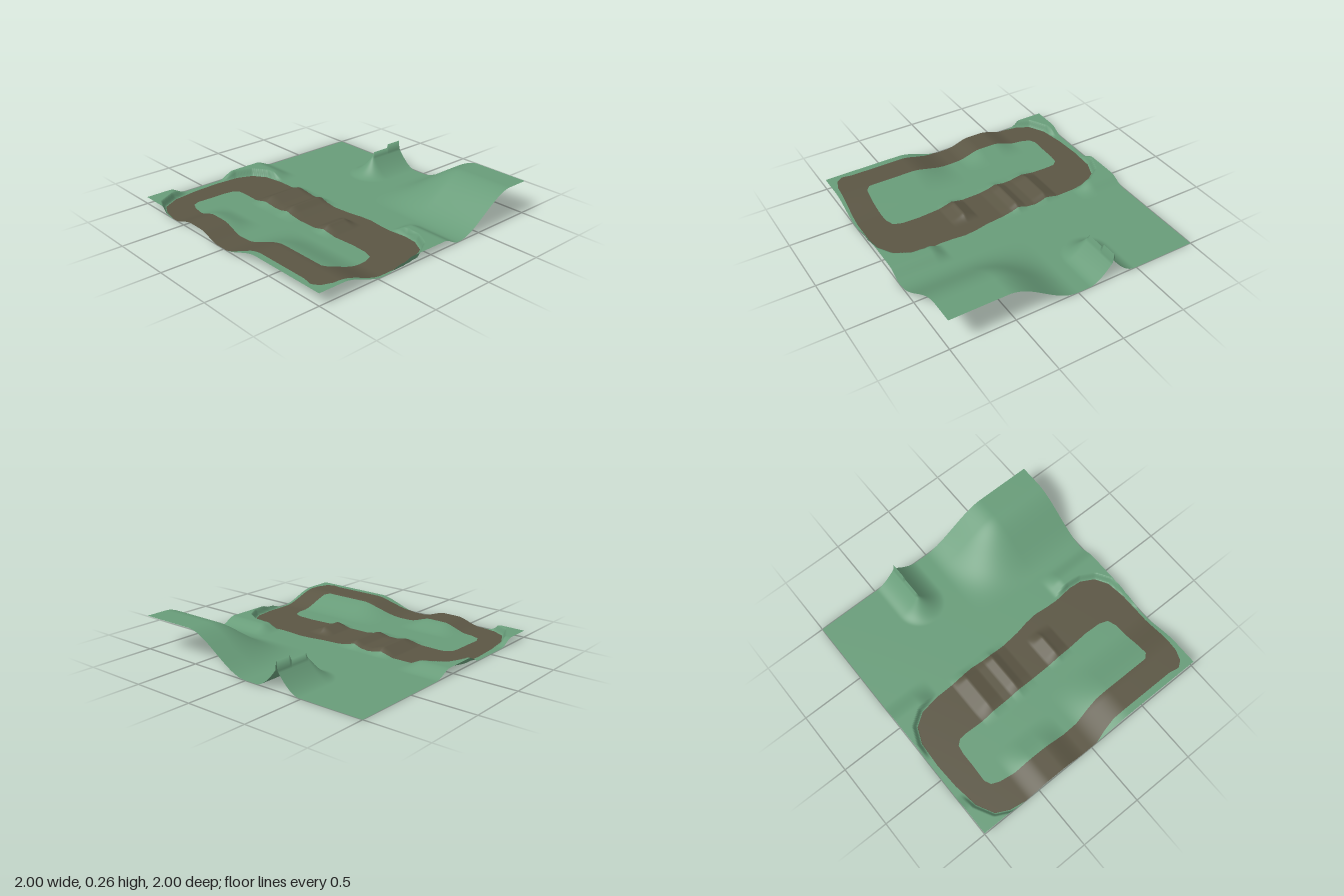
import * as THREE from 'three';

const N = 200; // grid cells per side

// Outlines of the dirt road, as (x, z) pairs
const outerEdge = [-.96, .4, -.95, .2, -.9, .08, -.8, .01, -.65, -.015, -.4, -.02, -.3, -.03, -.15, -.015, 0, -.02,
  .15, -.035, .25, -.055, .35, -.065, .45, -.055, .55, -.05, .7, -.065, .8, -.055, .9, 0, .96, .1, .98, .25, .98, .45,
  .97, .7, .96, .85, .93, .93, .88, .965, .8, .95, .5, .95, .25, .95, .15, .97, .07, .995, 0, 1.015, -.3, 1.02,
  -.6, 1.005, -.75, .98, -.85, .93, -.92, .8, -.95, .6];
const innerEdge = [-.76, .45, -.75, .38, -.71, .345, -.65, .34, -.5, .345, -.3, .335, 0, .325, .25, .32, .4, .31,
  .55, .3, .68, .305, .75, .33, .775, .4, .78, .6, .775, .72, .74, .755, .6, .755, .25, .755, .15, .77, .03, .795,
  -.1, .8, -.3, .795, -.55, .795, -.68, .775, -.74, .75, -.765, .7, -.76, .55];

const toPoints = (list) => {
  const points = [];
  for (let i = 0; i < list.length; i += 2) points.push([list[i], list[i + 1]]);
  return points;
};
const outer = toPoints(outerEdge), inner = toPoints(innerEdge);

// Signed distance to a closed outline, positive inside
function inside(points, x, z) {
  let best = Infinity, within = false;
  for (let i = 0, j = points.length - 1; i < points.length; j = i++) {
    const [ax, az] = points[i], [bx, bz] = points[j];
    const ex = bx - ax, ez = bz - az;
    const t = Math.min(1, Math.max(0, ((x - ax) * ex + (z - az) * ez) / (ex * ex + ez * ez)));
    best = Math.min(best, Math.hypot(x - ax - ex * t, z - az - ez * t));
    if ((az > z) !== (bz > z) && x < ax + (ex * (z - az)) / ez) within = !within;
  }
  return within ? best : -best;
}

// Smooth ramp from 0 at a to 1 at b (a may be the larger)
const ramp = (a, b, v) => {
  const t = Math.min(1, Math.max(0, (v - a) / (b - a)));
  return t * t * (3 - 2 * t);
};

// Piecewise linear profile through [position, height] pairs
function profile(points, v) {
  for (let i = 1; i < points.length; i++) {
    const [a, h] = points[i - 1], [b, k] = points[i];
    if (v >= a && v <= b) return h + ((k - h) * (v - a)) / (b - a);
  }
  return 0;
}

const doubleJump = [[-.5, 0], [-.39, .05], [-.28, .018], [-.21, .02], [-.14, .05], [-.08, .02], [0, 0]];
const smallJump = [[.16, 0], [.26, .045], [.29, .03], [.37, 0]];

function height(x, z, edge) {
  // big hill at the back and low rises along the front
  const hill = .257 * ramp(.0, .56, x) * ramp(-.29, -.83, z);
  const frontRise = .09 * ramp(0, .37, x) * ramp(.45, .8, z);
  const frontHump = .05 * ramp(-.61, -.4, x) * ramp(-.07, -.28, x) * ramp(.58, .8, z);

  // sharp ridge running off the back edge
  const dx = Math.abs(x + .29);
  const r = Math.hypot(dx, Math.max(0, z + .7));
  let ridge = r < .19 ? .155 * Math.pow(1 - r / .19, 1.7) : 0;
  if (dx < .008 && z < -.7) ridge += z < -.86 ? .055 : .025;

  // jumps on the back straight
  const jumps = profile(doubleJump, x) * ramp(-.08, .03, z) * ramp(.42, .25, z)
    + profile(smallJump, x) * ramp(.04, .13, z) * ramp(.38, .26, z);

  // banks outside three corners of the road
  const bank = ramp(.006, .03, -edge) * .053;
  const banks = bank * Math.max(
    ramp(.55, .68, x) * ramp(-.28, -.14, z) * ramp(.42, .28, z),
    ramp(-.63, -.79, x) * ramp(-.2, -.04, z) * ramp(.34, .2, z),
    ramp(-.63, -.8, x) * ramp(.66, .8, z));

  return Math.max(hill, frontRise, frontHump, ridge, jumps, banks);
}

// Part of a polygon on one side of the road edge
function clip(polygon, sign) {
  const result = [];
  polygon.forEach((a, i) => {
    const b = polygon[(i + 1) % polygon.length];
    if (a.d * sign >= 0) result.push(a);
    if (a.d * b.d < 0) {
      const t = a.d / (a.d - b.d);
      result.push({
        p: a.p.clone().lerp(b.p, t),
        n: a.n.clone().lerp(b.n, t).normalize(),
        d: 0,
      });
    }
  });
  return result;
}

function patch(name, polygons, material) {
  const positions = [], normals = [];
  for (const polygon of polygons) {
    for (let i = 2; i < polygon.length; i++) {
      for (const v of [polygon[0], polygon[i - 1], polygon[i]]) {
        positions.push(v.p.x, v.p.y, v.p.z);
        normals.push(v.n.x, v.n.y, v.n.z);
      }
    }
  }
  const geometry = new THREE.BufferGeometry();
  geometry.setAttribute('position', new THREE.Float32BufferAttribute(positions, 3));
  geometry.setAttribute('normal', new THREE.Float32BufferAttribute(normals, 3));
  const mesh = new THREE.Mesh(geometry, material);
  mesh.name = name;
  return mesh;
}

export function createModel() {
  const grassMaterial = new THREE.MeshStandardMaterial({ color: 0x689c79, side: THREE.DoubleSide });
  grassMaterial.name = 'grass green';
  const dirtMaterial = new THREE.MeshStandardMaterial({ color: 0x5b5644, side: THREE.DoubleSide });
  dirtMaterial.name = 'dirt brown';

  // height grid
  const grid = [];
  for (let j = 0; j <= N; j++) {
    for (let i = 0; i <= N; i++) {
      const x = (i * 2) / N - 1, z = (j * 2) / N - 1;
      const edge = inside(outer, x, z);
      const d = Math.min(edge, -inside(inner, x, z)) || 1e-6;
      grid.push({ p: new THREE.Vector3(x, height(x, z, edge), z), n: new THREE.Vector3(), d });
    }
  }
  // smooth normals from neighbouring heights
  const at = (i, j) => grid[Math.min(N, Math.max(0, j)) * (N + 1) + Math.min(N, Math.max(0, i))];
  for (let j = 0; j <= N; j++) {
    for (let i = 0; i <= N; i++) {
      const w = at(i - 1, j).p, e = at(i + 1, j).p, b = at(i, j - 1).p, f = at(i, j + 1).p;
      at(i, j).n.set((w.y - e.y) / (e.x - w.x), 1, (b.y - f.y) / (f.z - b.z)).normalize();
    }
  }
  // split every triangle along the road edge
  const grass = [], road = [];
  for (let j = 0; j < N; j++) {
    for (let i = 0; i < N; i++) {
      const a = at(i, j), b = at(i, j + 1), c = at(i + 1, j + 1), e = at(i + 1, j);
      for (const triangle of [[a, b, c], [a, c, e]]) {
        road.push(clip(triangle, 1));
        grass.push(clip(triangle, -1));
      }
    }
  }

  const model = new THREE.Group();
  model.name = 'dirtTrackTerrain';
  model.add(patch('grassland', grass, grassMaterial), patch('dirtRoad', road, dirtMaterial));
  return model;
}
